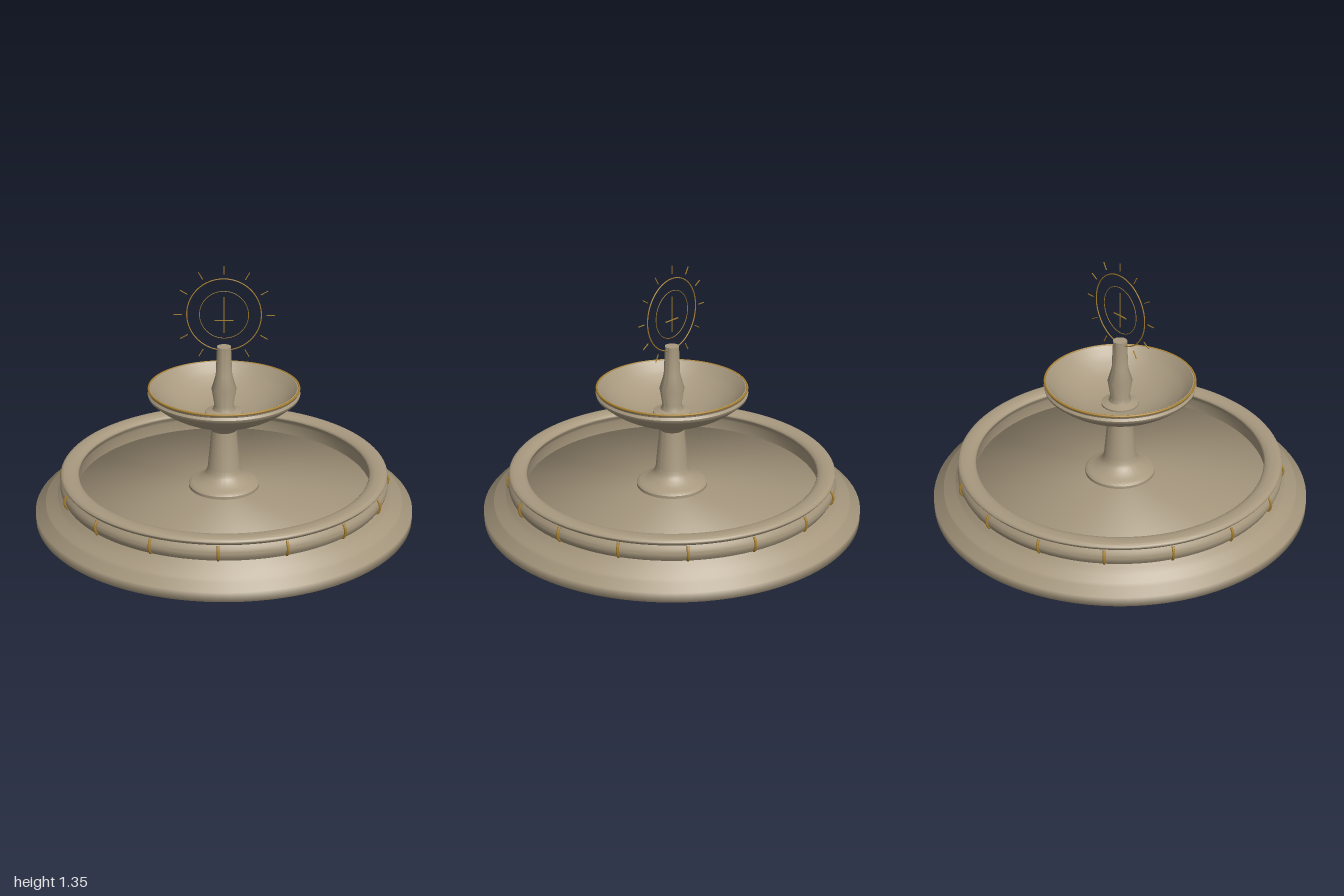
import * as THREE from 'three';
import { toCreasedNormals } from 'three/addons/utils/BufferGeometryUtils.js';

const stone = new THREE.MeshStandardMaterial({ color: 0xa8997f });
stone.name = 'stone';
const gold = new THREE.MeshStandardMaterial({ color: 0xa8802f });
gold.name = 'gold';

export function createModel() {
  const model = new THREE.Group();
  model.name = 'fountain';

  const add = (parent, name, geometry, material) => {
    const mesh = new THREE.Mesh(geometry, material);
    mesh.name = name;
    parent.add(mesh);
    return mesh;
  };
  // Profiles run up the outside, then down the inside
  const turned = (name, profile, crease = 0.7) => {
    const points = profile.map(([r, y]) => new THREE.Vector2(r, y));
    const geometry = new THREE.LatheGeometry(points, 96);
    return add(model, name, toCreasedNormals(geometry, crease), stone);
  };
  const smooth = (profile, n) =>
    new THREE.SplineCurve(profile.map(([r, y]) => new THREE.Vector2(r, y)))
      .getPoints(n).map((p) => [p.x, p.y]);

  // Stepped base, softly shaded across its edges
  turned('steppedBase', [
    [0, 0], [1, 0], [1, 0.05], [0.945, 0.072], [0.945, 0.095],
    [0.88, 0.095], [0.88, 0.14], [0, 0.14],
  ], Math.PI);

  // Basin wall with a bulging outside and a rounded rim
  turned('basinWall', [
    ...smooth([[0.85, 0.138], [0.862, 0.16], [0.866, 0.18], [0.862, 0.2], [0.85, 0.222]], 10),
    ...smooth([[0.853, 0.226], [0.862, 0.239], [0.848, 0.253], [0.815, 0.256],
      [0.785, 0.25], [0.766, 0.235], [0.775, 0.215]], 24),
    [0.78, 0.2], [0.78, 0.138],
  ]);

  // Gilded ribs around the basin wall
  const ribs = new THREE.Group();
  ribs.name = 'basinRibs';
  model.add(ribs);
  const ribPath = new THREE.CatmullRomCurve3(
    [[0.854, 0.142], [0.866, 0.16], [0.87, 0.18], [0.866, 0.2], [0.854, 0.22]]
      .map(([r, y]) => new THREE.Vector3(r, y, 0)));
  const ribGeometry = new THREE.TubeGeometry(ribPath, 12, 0.007, 8);
  for (let i = 0; i < 16; i++) {
    add(ribs, 'basinRib', ribGeometry, gold).rotation.y = (i * Math.PI) / 8;
  }

  // Pedestal with a flared foot
  turned('pedestal', [
    [0.187, 0.138], [0.187, 0.155],
    ...smooth([[0.178, 0.165], [0.135, 0.185], [0.1, 0.215], [0.086, 0.25]], 12),
    [0.066, 0.46], [0.115, 0.513],
  ]);

  // Upper bowl, closed underneath
  turned('upperBowl', [
    [0, 0.51], [0.12, 0.51],
    ...smooth([[0.15, 0.518], [0.21, 0.54], [0.28, 0.574], [0.34, 0.612], [0.392, 0.656]], 16),
    [0.396, 0.67], [0.388, 0.682], [0.395, 0.698], [0.38, 0.7],
    ...smooth([[0.368, 0.686], [0.32, 0.64], [0.24, 0.59], [0.14, 0.558], [0, 0.545]], 20),
  ]);
  const bowlTrim = add(model, 'bowlTrim', new THREE.TorusGeometry(0.39, 0.006, 8, 96), gold);
  bowlTrim.rotation.x = Math.PI / 2;
  bowlTrim.position.y = 0.697;

  // Central spout standing in the bowl
  turned('spout', [
    [0.098, 0.545], [0.098, 0.562], [0.06, 0.575], [0.05, 0.6], [0.065, 0.69],
    [0.043, 0.765], [0.037, 0.9], [0.037, 0.92], [0, 0.92],
  ]);

  // Wire sunburst with rings, cross and rays
  const sunburst = new THREE.Group();
  sunburst.name = 'sunburst';
  sunburst.position.y = 1.09;
  model.add(sunburst);
  add(sunburst, 'outerRing', new THREE.TorusGeometry(0.19, 0.003, 8, 80), gold);
  add(sunburst, 'innerRing', new THREE.TorusGeometry(0.125, 0.0018, 8, 64), gold);
  add(sunburst, 'crossUpright', new THREE.BoxGeometry(0.005, 0.19, 0.005), gold);
  add(sunburst, 'crossBar', new THREE.BoxGeometry(0.095, 0.005, 0.005), gold).position.y = -0.03;
  const rayGeometry = new THREE.BoxGeometry(0.043, 0.004, 0.004).translate(0.2365, 0, 0);
  for (let i = 0; i < 12; i++) {
    add(sunburst, 'ray', rayGeometry, gold).rotation.z = (i * Math.PI) / 6;
  }

  return model;
}
